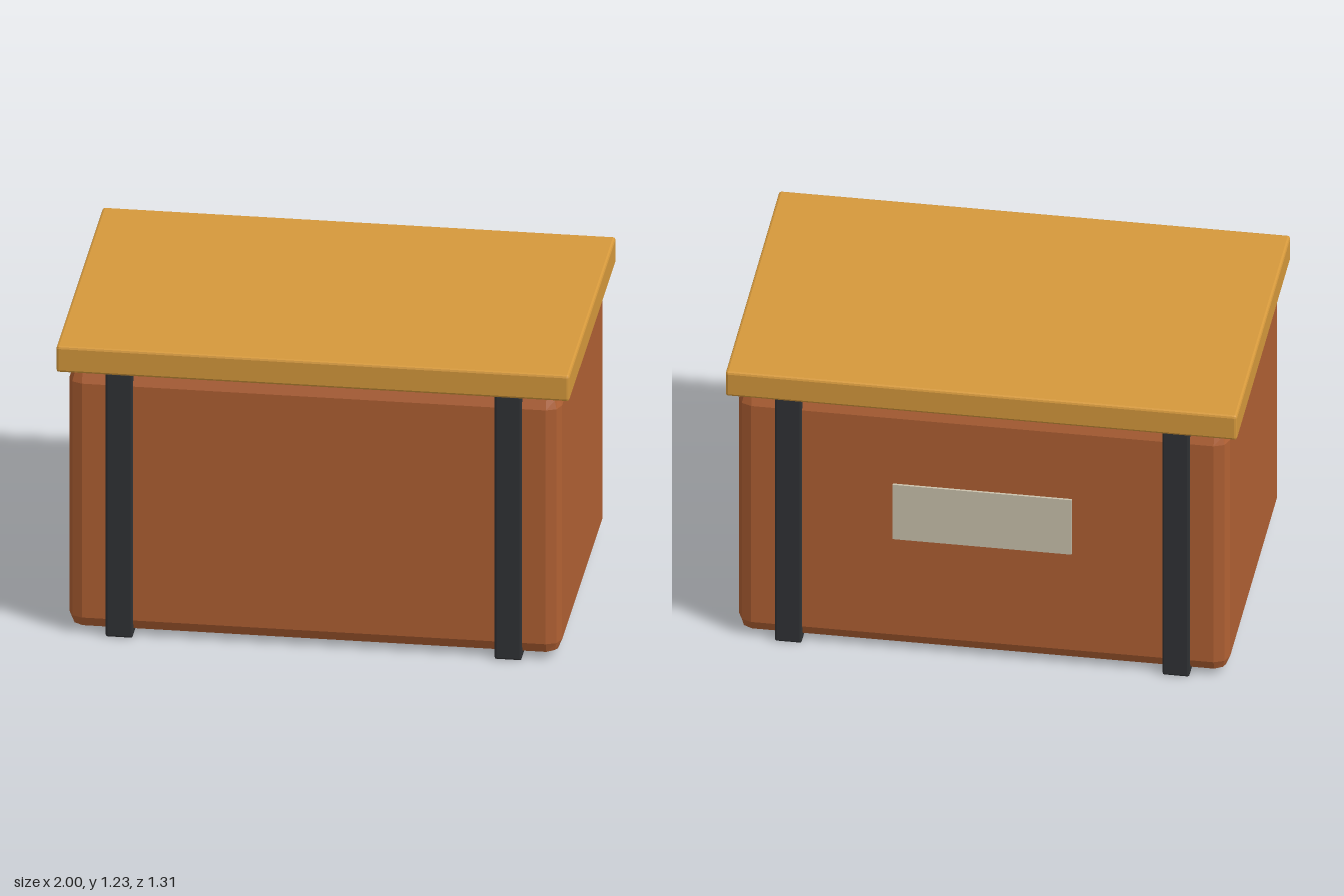
import * as THREE from 'three';
import { RoundedBoxGeometry } from 'three/addons/geometries/RoundedBoxGeometry.js';

const material = (color) => new THREE.MeshStandardMaterial({ color, flatShading: true });

// Box with faceted edges, placed by its centre
function block(name, mat, size, position, bevel) {
  const mesh = new THREE.Mesh(new RoundedBoxGeometry(...size, 1, bevel), mat);
  mesh.name = name;
  mesh.position.set(...position);
  return mesh;
}

export function createModel() {
  const model = new THREE.Group();
  model.name = 'storageBox';

  const leather = material(0xb06033);
  const wood = material(0xd6993c);
  const band = material(0x303235);
  const paper = material(0xcbc2ad);

  // Body with wide bevels, and an overhanging lid
  model.add(block('body', leather, [1.92, 1.105, 1.245], [0, 0.5675, 0], 0.056));
  model.add(block('lid', wood, [2, 0.11, 1.31], [0, 1.175, 0], 0.01));

  // Two straps, each wrapped around the body as four strips
  const width = 0.106, thick = 0.045, height = 1.122, depth = 1.27;
  for (const side of [-1, 1]) {
    const strap = new THREE.Group();
    strap.name = side > 0 ? 'leftStrap' : 'rightStrap';
    strap.position.x = side * 0.758;
    for (const end of [-1, 1]) {
      strap.add(block(end > 0 ? 'strapFront' : 'strapBack', band,
        [width, height, thick], [0, height / 2, end * (depth - thick) / 2], 0.008));
    }
    strap.add(block('strapBottom', band, [width, thick, depth], [0, thick / 2, 0], 0.008));
    strap.add(block('strapTop', band, [width, thick, depth], [0, height - thick / 2, 0], 0.008));
    model.add(strap);
  }

  // Blank label plate on the back
  const label = new THREE.Mesh(new THREE.BoxGeometry(0.7, 0.25, 0.02), paper);
  label.name = 'label';
  label.position.set(0, 0.64, -0.622);
  model.add(label);

  return model;
}
